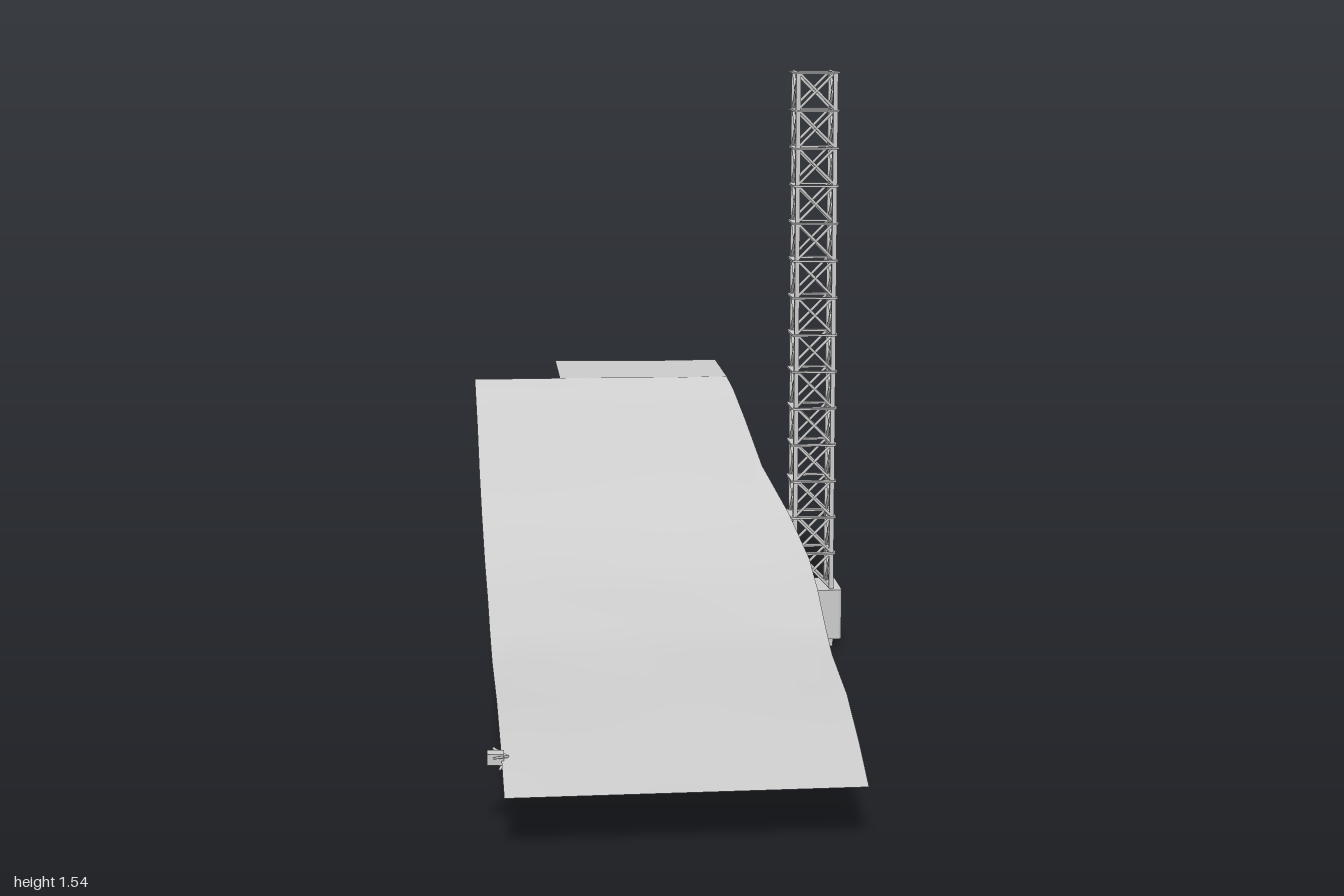
import * as THREE from 'three';

const grey = new THREE.MeshStandardMaterial({ color: 0xcccccc });
const sheetGrey = new THREE.MeshStandardMaterial({ color: 0xcccccc, side: THREE.DoubleSide });

function add(parent, name, geometry, material = grey) {
  const mesh = new THREE.Mesh(geometry, material);
  mesh.name = name;
  parent.add(mesh);
  return mesh;
}

// Round bar between two points
function bar(parent, name, a, b, radius, sides = 6) {
  const from = new THREE.Vector3(...a), to = new THREE.Vector3(...b);
  const dir = to.clone().sub(from);
  const mesh = add(parent, name, new THREE.CylinderGeometry(radius, radius, dir.length(), sides));
  mesh.position.copy(from).add(to).multiplyScalar(0.5);
  mesh.quaternion.setFromUnitVectors(new THREE.Vector3(0, 1, 0), dir.normalize());
  return mesh;
}

// Square outline with rounded corners
function roundedSquare(half, r, Type = THREE.Shape) {
  const s = new Type();
  const k = half - r;
  s.absarc(k, k, r, 0, Math.PI / 2);
  s.absarc(-k, k, r, Math.PI / 2, Math.PI);
  s.absarc(-k, -k, r, Math.PI, Math.PI * 1.5);
  s.absarc(k, -k, r, Math.PI * 1.5, Math.PI * 2);
  s.closePath();
  return s;
}

function extrudeUp(shape, height, y) {
  return new THREE.ExtrudeGeometry(shape, { depth: height, bevelEnabled: false, curveSegments: 4 })
    .rotateX(-Math.PI / 2).translate(0, y, 0);
}

// Smooth sheet: point(u, v) with v from front to back
function sheet(columns, rows, point) {
  const g = new THREE.PlaneGeometry(1, 1, columns, rows);
  const p = g.attributes.position;
  for (let j = 0; j <= rows; j++)
    for (let i = 0; i <= columns; i++)
      p.setXYZ(j * (columns + 1) + i, ...point(i / columns, rows - j));
  g.computeVertexNormals();
  return g;
}

// Shared gentle wave of the crest line
const crestZ = x => 0.012 * Math.exp(-((x - 0.02) ** 2) / 0.02);

// Slope rows: z, height, left edge x, right edge x
const rows = [
  [1, 0.12, -0.45, 0.305], [0.8, 0.155, -0.453, 0.315], [0.56, 0.2, -0.458, 0.324],
  [0.28, 0.221, -0.464, 0.331], [0.14, 0.258, -0.467, 0.333], [0, 0.302, -0.47, 0.335],
  [-0.16, 0.342, -0.474, 0.336], [-0.31, 0.435, -0.479, 0.302], [-0.45, 0.535, -0.483, 0.25],
  [-0.54, 0.637, -0.486, 0.216], [-0.62, 0.702, -0.489, 0.192], [-0.68, 0.732, -0.49, 0.18],
];

function slope() {
  const last = rows.length - 1;
  return sheet(16, last, (u, j) => {
    const [z, y, x0, x1] = rows[j];
    const x = x0 + (x1 - x0) * u;
    const inner = j > 0 && j < last ? 1 : 0;
    const bump = inner * 0.005 * Math.sin(u * 7 + j * 1.3);
    const tilt = j === 0 ? 0.004 * u : 0;
    return [x, y + bump + tilt, z + (j === last ? crestZ(x) : 0)];
  });
}

function platform() {
  return sheet(12, 2, (u, j) => {
    const x = -0.265 + 0.445 * u;
    return [x, 0.732, -0.68 - 0.16 * j + crestZ(x) + (j === 2 ? 0.008 * u : 0)];
  });
}

function tower() {
  const g = new THREE.Group();
  g.name = 'latticeTower';
  const h = 0.049, base = 0.16, top = 1.54, bays = 14, step = (top - base) / bays;

  // Hollow foundation with an open underside
  const wall = roundedSquare(0.076, 0.012);
  wall.holes.push(roundedSquare(0.071, 0.009, THREE.Path));
  add(g, 'foundationWall', extrudeUp(wall, 0.132, 0.025));
  add(g, 'foundationTop', extrudeUp(roundedSquare(0.076, 0.012), 0.004, 0.156));

  // Corner legs
  for (const x of [-h, h])
    for (const z of [-h, h]) {
      const leg = add(g, 'cornerLeg', new THREE.BoxGeometry(0.012, top, 0.012));
      leg.position.set(x, top / 2, z);
    }

  // Horizontal frames
  const frame = roundedSquare(0.061, 0.012);
  frame.holes.push(roundedSquare(0.043, 0.004, THREE.Path));
  const frameGeometry = extrudeUp(frame, 0.005, -0.005);
  for (let i = 1; i <= bays; i++)
    add(g, 'horizontalFrame', frameGeometry).position.y = base + i * step;

  // Crossed braces on all four faces
  for (let side = 0; side < 4; side++) {
    const face = new THREE.Group();
    face.name = 'bracedFace';
    face.rotation.y = side * Math.PI / 2;
    for (let i = 0; i < bays; i++) {
      const y0 = base + i * step, y1 = y0 + step;
      bar(face, 'brace', [-h, y0, h], [h, y1, h], 0.004);
      bar(face, 'brace', [h, y0, h], [-h, y1, h], 0.004);
    }
    g.add(face);
  }
  g.position.set(0.409, 0, -0.67);
  return g;
}

// Small box on splayed struts at the slope's edge
function edgeBox() {
  const g = new THREE.Group();
  g.name = 'edgeBox';
  add(g, 'housing', new THREE.BoxGeometry(0.036, 0.024, 0.032));
  for (const s of [-1, 1]) {
    bar(g, 'strut', [0.026, 0.002, 0], [-0.004, 0.01, s * 0.036], 0.003);
    bar(g, 'lowerStrut', [0.022, -0.004, 0], [0.008, -0.022, s * 0.018], 0.003);
  }
  g.position.set(-0.465, 0.154, 0.827);
  return g;
}

export function createModel() {
  const model = new THREE.Group();
  model.name = 'slopeWithTower';
  add(model, 'slope', slope(), sheetGrey);
  add(model, 'upperPlatform', platform(), sheetGrey);
  model.add(tower(), edgeBox());
  return model;
}
